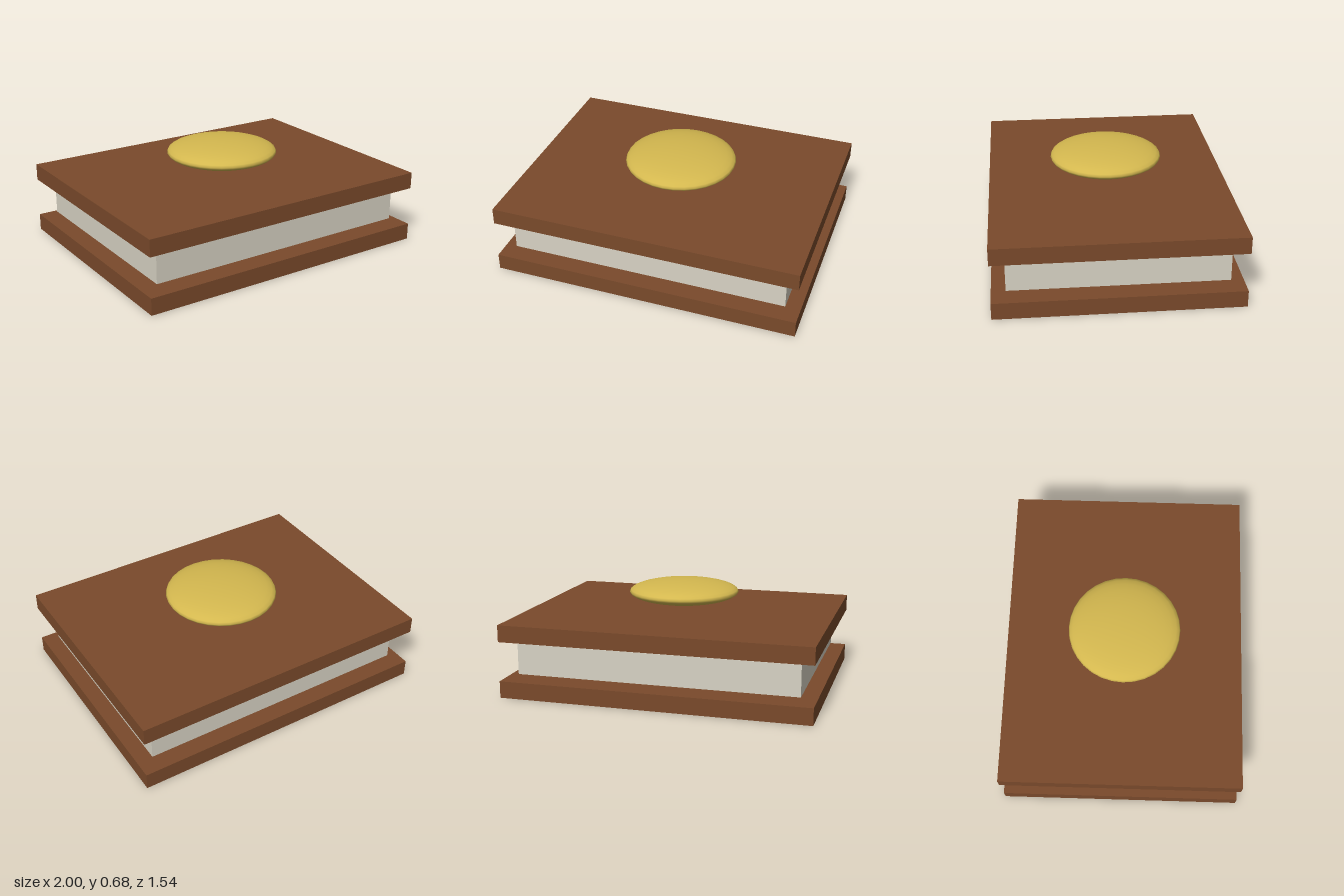
import * as THREE from 'three';

const COVER = 0x7a4a2b, PAGES = 0xd8d3c4, GOLD = 0xd4b84f;

function addPart(group, name, geometry, color, y) {
  const mesh = new THREE.Mesh(geometry, new THREE.MeshStandardMaterial({ color }));
  mesh.name = name;
  mesh.position.y = y;
  group.add(mesh);
  return mesh;
}

export function createModel() {
  const book = new THREE.Group();
  book.name = 'book';

  // Two identical covers with the page block floating between them
  const cover = new THREE.BoxGeometry(2, 0.109, 1.545);
  addPart(book, 'backCover', cover, COVER, 0.0545);
  addPart(book, 'pageBlock', new THREE.BoxGeometry(1.818, 0.2, 1.364), PAGES, 0.239);
  addPart(book, 'frontCover', cover, COVER, 0.42);

  // Flattened round emblem hovering above the front cover
  const emblem = new THREE.SphereGeometry(0.3636, 32, 16).scale(1, 0.2, 1);
  addPart(book, 'emblem', emblem, GOLD, 0.603);

  return book;
}
